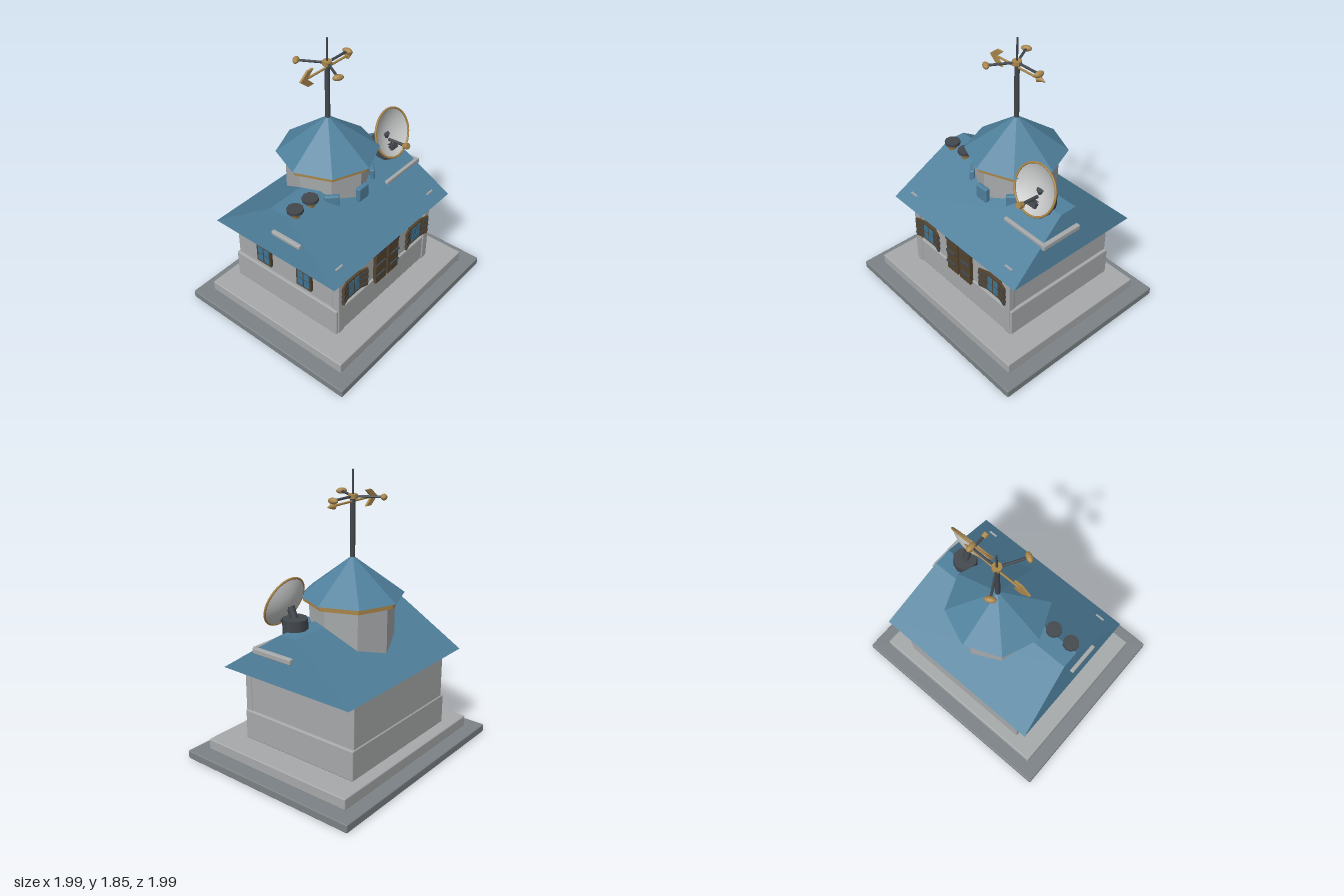
import * as THREE from 'three';
import { RoundedBoxGeometry } from 'three/addons/geometries/RoundedBoxGeometry.js';

const mat = (name, color, extra = {}) =>
  Object.assign(new THREE.MeshStandardMaterial({ color, ...extra }), { name });

export function createModel() {
  const slab = mat('slab grey', 0x7b8285);
  const wall = mat('wall grey', 0xa6a9aa);
  const blue = mat('roof blue', 0x4f809c, { flatShading: true });
  const gold = mat('ochre trim', 0xa8854a);
  const wood = mat('dark wood', 0x54442f);
  const iron = mat('dark iron', 0x43484d);
  const glass = mat('window blue', 0x3f7596);
  const white = mat('dish grey', 0xc4c5c5, { side: THREE.DoubleSide });

  const model = new THREE.Group();
  const house = new THREE.Group();
  house.name = 'house';
  house.rotation.y = Math.PI / 4;
  model.add(house);

  const add = (name, geo, material, x, y, z, parent = house) => {
    const m = new THREE.Mesh(geo, material);
    m.name = name;
    m.position.set(x, y, z);
    parent.add(m);
    return m;
  };
  const box = (name, material, w, h, d, x, y, z, parent) =>
    add(name, new THREE.BoxGeometry(w, h, d), material, x, y, z, parent);
  // Rounded block given by its bounds
  const block = (name, material, x0, x1, y0, y1, z0, z1, r = 0.008) =>
    add(name, new RoundedBoxGeometry(x1 - x0, y1 - y0, z1 - z0, 2, r), material,
      (x0 + x1) / 2, (y0 + y1) / 2, (z0 + z1) / 2);
  const rod = (name, material, a, b, r, parent) => {
    const p = new THREE.Vector3(...a), q = new THREE.Vector3(...b), d = q.clone().sub(p);
    const m = add(name, new THREE.CylinderGeometry(r, r, d.length(), 8), material, 0, 0, 0, parent);
    m.position.copy(p).lerp(q, 0.5);
    m.quaternion.setFromUnitVectors(new THREE.Vector3(0, 1, 0), d.normalize());
    return m;
  };

  // Stepped foundation
  block('foundation', slab, -0.76, 0.76, 0, 0.055, -0.655, 0.655);
  block('terrace', wall, -0.66, 0.66, 0.055, 0.13, -0.56, 0.56);

  // Walls, plinth and front corner posts
  block('walls', wall, -0.47, 0.47, 0.13, 0.63, -0.475, 0.37, 0.005);
  block('plinth', wall, -0.49, 0.49, 0.13, 0.33, -0.482, 0.385);
  for (const s of [-1, 1]) {
    const px = s * 0.45;
    block('cornerPost', wall, px - 0.026, px + 0.026, 0.13, 0.62, 0.34, 0.392);
  }
  box('eavesTrim', gold, 1.05, 0.03, 0.9, 0, 0.627, -0.04);

  // Hipped roof with a narrow flat top
  const ring = (x, y, z0, z1) => [[-x, y, z1], [x, y, z1], [x, y, z0], [-x, y, z0]];
  const eave = ring(0.59, 0.64, -0.53, 0.456), top = ring(0.53, 0.937, -0.09, 0.03);
  const pos = [];
  const quad = (a, b, c, d) => pos.push(...a, ...b, ...c, ...a, ...c, ...d);
  for (let i = 0; i < 4; i++) {
    const j = (i + 1) % 4;
    quad(eave[i], eave[j], top[j], top[i]);
  }
  quad(...top);
  quad(eave[3], eave[2], eave[1], eave[0]);
  const roofGeo = new THREE.BufferGeometry();
  roofGeo.setAttribute('position', new THREE.Float32BufferAttribute(pos, 3));
  roofGeo.computeVertexNormals();
  add('mainRoof', roofGeo, blue, 0, 0, 0);

  // Pale rails and clips on the roof
  block('leftRail', wall, -0.58, -0.545, 0.783, 0.812, -0.05, 0.175);
  block('rightRail', wall, 0.545, 0.58, 0.79, 0.828, -0.09, 0.215);
  block('frontRail', wall, 0.226, 0.575, 0.808, 0.832, 0.19, 0.215, 0.005);
  for (const s of [-1, 1]) box('roofClip', wall, 0.06, 0.008, 0.012, s * 0.465, 0.693, 0.387);

  // Octagonal turret
  const tz = -0.092;
  const oct = (name, m, r0, r1, y0, y1) => {
    const g = new THREE.CylinderGeometry(r1, r0, y1 - y0, 8).toNonIndexed();
    g.computeVertexNormals();
    return add(name, g, m, 0, (y0 + y1) / 2, tz);
  };
  oct('turretWall', wall, 0.268, 0.268, 0.66, 1.055);
  oct('turretTrim', gold, 0.307, 0.307, 1.05, 1.083);
  oct('turretRoof', blue, 0.328, 0, 1.083, 1.33);
  for (const a of [-1, 0, 1]) {
    const t = a * Math.PI / 4;
    const p = add('turretFoot', new RoundedBoxGeometry(0.095, 0.1, 0.035, 2, 0.01), blue,
      Math.sin(t) * 0.278, 0.878, tz + Math.cos(t) * 0.278);
    p.rotation.y = t;
  }

  // Mast, wind cups and weather vane
  rod('mast', iron, [0, 1.32, tz], [0, 1.68, tz], 0.016);
  rod('mastTip', iron, [0, 1.66, tz], [0, 1.85, tz], 0.006);
  add('hub', new THREE.CylinderGeometry(0.03, 0.03, 0.026, 12), gold, 0, 1.69, tz);
  for (let i = 0; i < 3; i++) {
    const t = i * Math.PI * 2 / 3, c = Math.cos(t), s = Math.sin(t);
    rod('cupArm', iron, [0, 1.69, tz], [c * 0.18, 1.69, tz + s * 0.18], 0.008);
    const cup = add('windCup', new THREE.SphereGeometry(0.02, 14, 10), gold, c * 0.185, 1.69, tz + s * 0.185);
    cup.scale.set(1, 0.95, 1.75);
    cup.rotation.y = -t;
  }
  rod('vaneShaft', gold, [-0.22, 1.66, tz], [0.2, 1.66, tz], 0.007);
  const tip = add('vaneTip', new THREE.ConeGeometry(0.022, 0.06, 8), gold, 0.21, 1.66, tz);
  tip.rotation.z = -Math.PI / 2;
  const tail = new THREE.Shape([[-0.235, 0], [-0.175, 0.048], [-0.125, 0.048], [-0.18, 0],
    [-0.125, -0.052], [-0.175, -0.052]].map(p => new THREE.Vector2(...p)));
  add('vaneTail', new THREE.ExtrudeGeometry(tail, { depth: 0.014, bevelEnabled: false }), gold, 0, 1.66, tz - 0.007);

  // Chimney pots
  for (const x of [-0.467, -0.332]) {
    add('chimneyPot', new THREE.CylinderGeometry(0.042, 0.022, 0.06, 12), gold, x, 0.92, 0.05);
    add('chimneyCap', new THREE.CylinderGeometry(0.052, 0.052, 0.022, 10), iron, x, 0.957, 0.05);
  }

  // Dish antenna on a drum mount
  add('dishMount', new THREE.CylinderGeometry(0.078, 0.078, 0.15, 10), iron, 0.389, 0.93, 0.035);
  rod('dishNeck', iron, [0.389, 0.98, 0.035], [0.389, 1.07, 0.07], 0.025);
  const dish = new THREE.Group();
  dish.name = 'dish';
  dish.position.set(0.39, 1.09, 0.117);
  dish.rotation.x = THREE.MathUtils.degToRad(70);
  house.add(dish);
  const bowl = [];
  for (let i = 0; i <= 8; i++) {
    const r = 0.162 * i / 8;
    bowl.push(new THREE.Vector2(r, -0.055 * (1 - (r / 0.162) ** 2)));
  }
  add('dishBowl', new THREE.LatheGeometry(bowl, 32), white, 0, 0, 0, dish);
  const rim = add('dishRim', new THREE.TorusGeometry(0.162, 0.007, 8, 36), gold, 0, 0, 0, dish);
  rim.rotation.x = Math.PI / 2;
  rod('feedArm', iron, [0, -0.045, 0.05], [0, 0.085, 0.088], 0.01, dish);
  box('feedFoot', iron, 0.06, 0.03, 0.03, 0, -0.025, 0.1, dish);
  add('feedHorn', new THREE.CylinderGeometry(0.02, 0.02, 0.035, 10), gold, 0, 0.088, 0.09, dish);

  // Double door with iron straps
  box('doorGap', iron, 0.2, 0.3, 0.02, 0, 0.458, 0.38);
  for (const s of [-1, 1]) {
    box('doorLeaf', wood, 0.108, 0.312, 0.025, s * 0.062, 0.458, 0.39);
    for (const y of [0.37, 0.46, 0.565]) {
      box('doorStrap', iron, 0.085, 0.016, 0.012, s * 0.072, y, 0.406);
    }
  }

  // Windows: frame, four panes and optional shutters
  const windowAt = (x, z, turn, shutters) => {
    const g = new THREE.Group();
    g.name = 'window';
    g.position.set(x, 0.442, z);
    g.rotation.y = turn;
    house.add(g);
    box('windowFrame', wood, 0.122, 0.138, 0.024, 0, 0, 0.005, g);
    for (const sx of [-1, 1]) {
      for (const sy of [-1, 1]) box('pane', glass, 0.042, 0.05, 0.006, sx * 0.026, sy * 0.03, 0.017, g);
      if (!shutters) continue;
      const leaf = new THREE.Group();
      leaf.name = 'shutter';
      leaf.position.set(sx * 0.09, 0, 0.018);
      leaf.rotation.y = -sx * 0.3;
      g.add(leaf);
      box('shutterLeaf', wood, 0.062, 0.145, 0.014, 0, 0, 0, leaf);
      for (const y of [-0.045, 0, 0.045]) box('shutterStrap', iron, 0.066, 0.012, 0.022, 0, y, 0, leaf);
    }
  };
  for (const s of [-1, 1]) windowAt(s * 0.325, 0.375, 0, true);
  for (const z of [-0.227, 0.117]) windowAt(-0.472, z, -Math.PI / 2, false);

  return model;
}
